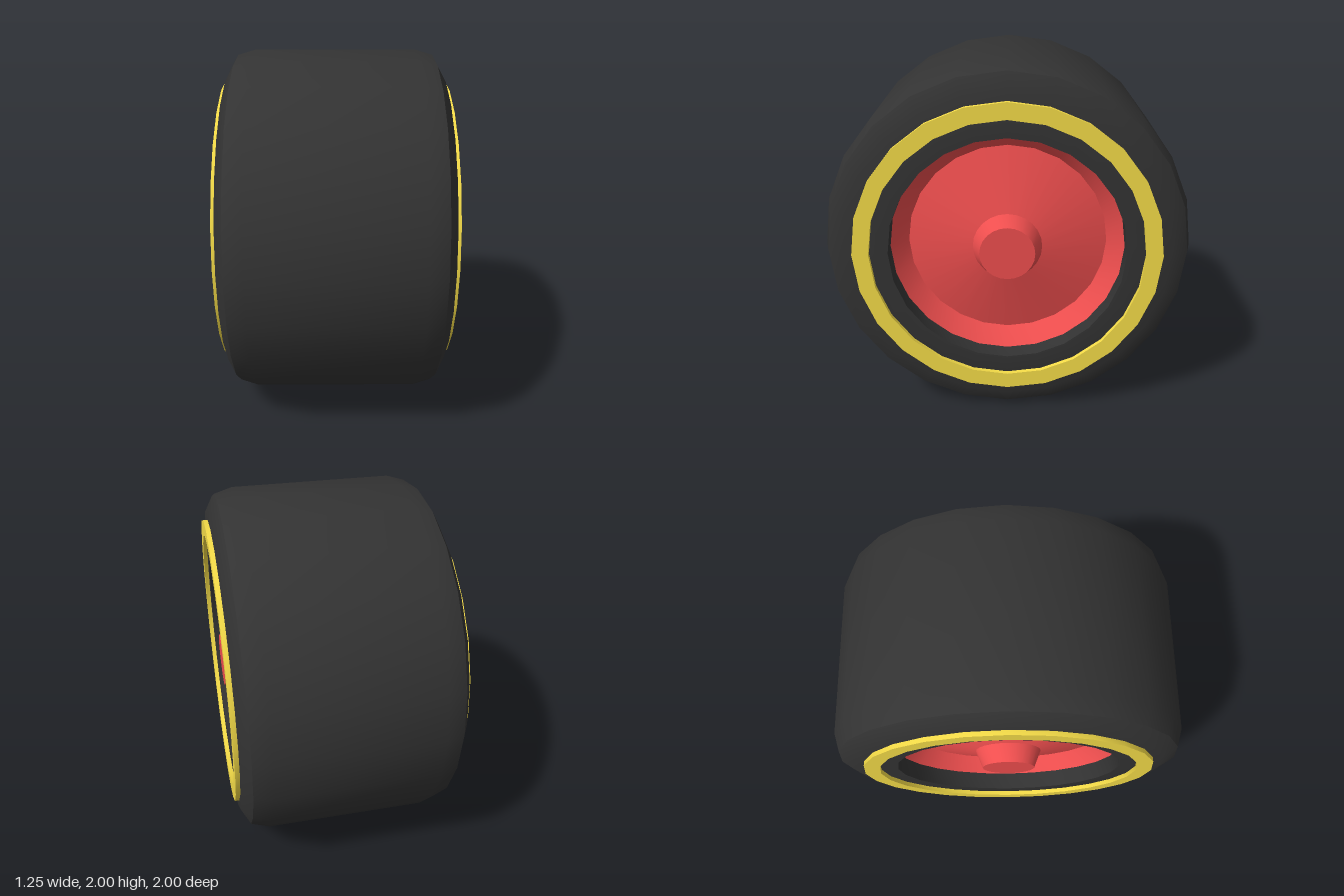
import * as THREE from 'three';
import { toCreasedNormals } from 'three/addons/utils/BufferGeometryUtils.js';

const SIDES = 24;
const rubber = new THREE.MeshStandardMaterial({ color: 0x333333 });
const yellow = new THREE.MeshStandardMaterial({ color: 0xf5dc48 });
const red = new THREE.MeshStandardMaterial({ color: 0xee4e4e });

// Revolves a [radius, distance along axle] profile around the x axis
function turned(name, profile, material) {
  const points = profile.map(([r, d]) => new THREE.Vector2(r, d));
  const geometry = new THREE.LatheGeometry(points, SIDES);
  geometry.rotateZ(-Math.PI / 2);
  const mesh = new THREE.Mesh(toCreasedNormals(geometry, THREE.MathUtils.degToRad(35)), material);
  mesh.name = name;
  return mesh;
}

// Rim and sidewall stripe for one face of the wheel
function wheelFace(name) {
  const face = new THREE.Group();
  face.name = name;
  face.add(
    turned('sidewallStripe', [[0.83, 0.6], [0.83, 0.625], [0.74, 0.625], [0.74, 0.6]], yellow),
    // Sloped lip, slightly domed disc
    turned('rim', [[0.64, 0.5], [0.55, 0.41], [0.19, 0.5]], red),
    // Tapered hub with a flat cap
    turned('hub', [[0.19, 0.5], [0.15, 0.6], [0, 0.6]], red),
  );
  return face;
}

export function createModel() {
  const wheel = new THREE.Group();
  wheel.name = 'wheel';

  // Tyre: bore, flat sidewall, chamfered shoulder and tread, mirrored across the middle
  const half = [[0.64, 0.5], [0.64, 0.6], [0.88, 0.6], [0.97, 0.55], [1, 0.45]];
  const profile = [...half.map(([r, d]) => [r, -d]), ...half.slice().reverse()];
  wheel.add(turned('tyre', profile, rubber));

  const left = wheelFace('leftFace');
  const right = wheelFace('rightFace');
  right.rotation.y = Math.PI;
  wheel.add(left, right);

  wheel.position.y = 1;
  const model = new THREE.Group();
  model.add(wheel);
  return model;
}
